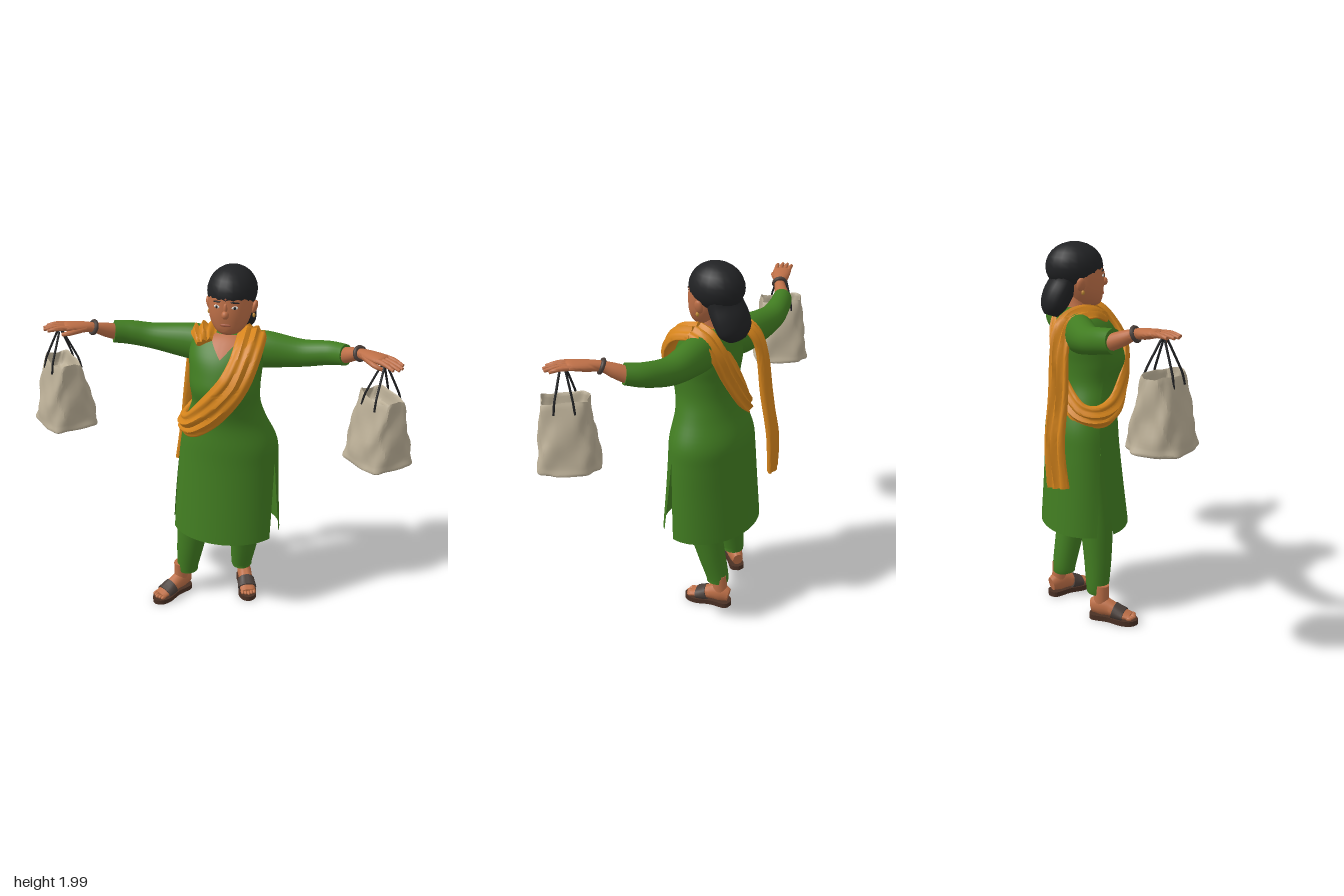
import * as THREE from 'three';
import { mergeVertices, toCreasedNormals } from 'three/addons/utils/BufferGeometryUtils.js';

const mat = (name, color, side = THREE.FrontSide) => {
  const m = new THREE.MeshStandardMaterial({ color, side });
  m.name = name;
  return m;
};
const { cos, sin, PI, abs, max, sign, pow } = Math;
const V = (x, y, z) => new THREE.Vector3(x, y, z);
const CX = 0.022; // head centre

// smooth interpolation through rows of numbers, t from 0 to 1
function sample(rows, t) {
  const n = rows.length - 1, f = Math.min(t * n, n - 1e-6), i = Math.floor(f), k = f - i;
  const g = (j) => rows[Math.min(n, max(0, j))];
  return rows[i].map((b, c) => {
    const a = g(i - 1)[c], d = g(i + 1)[c], e = g(i + 2)[c];
    return b + 0.5 * k * (d - a + k * (2 * a - 5 * b + 4 * d - e + k * (3 * (b - d) + e - a)));
  });
}

// grid surface from f(u, v); faces look outward when v turns counter-clockwise about u
function surface(nu, nv, f, crease = 1) {
  const pos = [], idx = [];
  for (let i = 0; i <= nu; i++) for (let j = 0; j <= nv; j++) pos.push(...f(i / nu, j / nv));
  for (let i = 0; i < nu; i++) for (let j = 0; j < nv; j++) {
    const a = i * (nv + 1) + j, c = a + nv + 1;
    idx.push(a, a + 1, c + 1, a, c + 1, c);
  }
  const g = new THREE.BufferGeometry();
  g.setAttribute('position', new THREE.Float32BufferAttribute(pos, 3));
  g.setIndex(idx);
  return toCreasedNormals(mergeVertices(g), crease);
}

// horizontal elliptical section of rows [y, xMin, xMax, zBack, zFront]
function section(rows, t, a, grow = 0) {
  const [y, x0, x1, z0, z1] = sample(rows, t);
  return [(x0 + x1) / 2 + ((x1 - x0) / 2 + grow) * cos(a), y, (z0 + z1) / 2 + ((z1 - z0) / 2 + grow) * sin(a)];
}

// swept form through points [x, y, z, halfWidth, halfHeight]; up(p) orients the section
function limb(pts, { up = () => V(0, 1, 0), nu = 24, nv = 18, fold = 0, bend = 0 } = {}) {
  const at = (t) => V(...sample(pts, t).slice(0, 3));
  return surface(nu, nv, (u, v) => {
    const i = Math.round(u * nu), t = Math.min(1, max(0, (i - 1) / (nu - 2)));
    const end = i === 0 || i === nu ? 0 : 1;
    const p = at(t), [, , , w, h] = sample(pts, t), a = v * 2 * PI;
    const T = at(Math.min(1, t + 0.01)).sub(at(max(0, t - 0.01))).normalize();
    const N = up(p).cross(T).normalize(), B = T.clone().cross(N);
    const c = cos(a);
    const o = h * sin(a) + max(0, sin(a)) * fold * sin(c * 10 + t * 7) - bend * w * w * c * c;
    return p.addScaledVector(N, w * c * end).addScaledVector(B, o * end).toArray();
  });
}
const upZ = { up: () => V(0, 0, 1) };

export function createModel() {
  const root = new THREE.Group();
  root.name = 'womanWithBags';
  const green = mat('green cloth', 0x417c21, THREE.DoubleSide);
  const orange = mat('orange cloth', 0xd5841c, THREE.DoubleSide);
  const skin = mat('skin', 0xbd6f47), hairM = mat('black hair', 0x212224);
  const canvas = mat('bag canvas', 0xb9ad95, THREE.DoubleSide);
  const brown = mat('sandal brown', 0x4a3024), strapM = mat('dark strap', 0x4a3f3a);
  const white = mat('eye white', 0xeae6e0), lipM = mat('lips', 0xa65a40), gold = mat('gold', 0xc08a35);

  const add = (name, geo, m, parent = root) => {
    const o = new THREE.Mesh(geo, m);
    o.name = name;
    parent.add(o);
    return o;
  };
  const ball = (name, m, p, s, parent = root) => {
    const o = add(name, new THREE.SphereGeometry(1, 20, 14), m, parent);
    o.position.set(...p);
    o.scale.set(...s);
    return o;
  };

  // tunic: front and back panels that part into side slits
  const body = [
    [1.665, -0.05, 0.09, -0.17, -0.03], [1.63, -0.16, 0.18, -0.2, 0.02], [1.55, -0.19, 0.2, -0.21, 0.09],
    [1.46, -0.185, 0.195, -0.21, 0.13], [1.38, -0.18, 0.19, -0.2, 0.148], [1.28, -0.175, 0.19, -0.2, 0.118],
    [1.18, -0.205, 0.22, -0.222, 0.1], [1.05, -0.245, 0.277, -0.268, 0.11], [0.93, -0.262, 0.287, -0.276, 0.117],
    [0.75, -0.28, 0.293, -0.285, 0.135], [0.49, -0.303, 0.305, -0.303, 0.165]];
  const slit = 0.25;
  for (const back of [0, 1]) {
    add(back ? 'tunicBack' : 'tunicFront', surface(48, 30, (u, v) => {
      const h = 0.21 * max(0, (0.95 - sample(body, u)[0]) / 0.46);
      const from = back ? PI - slit + h : slit + h, to = back ? 2 * PI + slit - h : PI - slit - h;
      return section(body, u, from + (to - from) * v);
    }), green);
  }
  // open neckline
  add('neckline', surface(8, 8, (u, v) => section(body, 0.03 + u * 0.16, PI / 2 + (v - 0.5) * 1.3 * (1 - u), 0.005)), skin);

  // trousers
  add('rightTrouserLeg', limb([[-0.13, 0.9, -0.07, 0.1, 0.1], [-0.172, 0.55, -0.04, 0.098, 0.088],
    [-0.2, 0.35, -0.035, 0.08, 0.075], [-0.222, 0.19, -0.04, 0.062, 0.062], [-0.222, 0.15, -0.04, 0.058, 0.058]], upZ), green);
  add('leftTrouserLeg', limb([[0.1, 0.9, -0.08, 0.1, 0.1], [0.105, 0.55, -0.1, 0.094, 0.088],
    [0.09, 0.35, -0.14, 0.079, 0.076], [0.07, 0.19, -0.172, 0.062, 0.065], [0.07, 0.15, -0.175, 0.058, 0.062]], upZ), green);

  // feet and sandals
  const outline = new THREE.Shape();
  outline.setFromPoints(new THREE.SplineCurve([[0, -0.135], [0.04, -0.11], [0.037, -0.02], [0.052, 0.06], [0.04, 0.115],
    [0, 0.14], [-0.04, 0.115], [-0.052, 0.06], [-0.037, -0.02], [-0.04, -0.11], [0, -0.135]].map((p) => new THREE.Vector2(...p))).getPoints(50));
  for (const [name, x, z, turn] of [['right', -0.297, 0.03, -0.57], ['left', 0.103, -0.138, 0.38]]) {
    const foot = new THREE.Group();
    foot.name = name + 'Foot';
    foot.position.set(x, 0, z);
    foot.rotation.y = turn;
    root.add(foot);
    const sole = add('sandalSole', new THREE.ExtrudeGeometry(outline, { depth: 0.028, bevelEnabled: false }), brown, foot);
    sole.rotation.x = PI / 2;
    sole.position.y = 0.03;
    add('foot', limb([[0, 0.07, -0.12, 0.03, 0.04], [0, 0.08, -0.07, 0.04, 0.055], [0, 0.07, -0.01, 0.04, 0.042],
      [0, 0.052, 0.05, 0.045, 0.026], [0, 0.044, 0.1, 0.042, 0.015]]), skin, foot);
    add('ankle', limb([[0, 0.2, -0.065, 0.036, 0.04], [0, 0.12, -0.068, 0.037, 0.042], [0, 0.07, -0.07, 0.038, 0.045]], upZ), skin, foot);
    add('sandalStrap', limb([[0, 0.062, 0.005, 0.049, 0.046], [0, 0.054, 0.035, 0.052, 0.038], [0, 0.048, 0.065, 0.054, 0.03]]), strapM, foot);
    for (let i = -2; i <= 2; i++) ball('toe', skin, [i * 0.017, 0.042, 0.112 - abs(i) * 0.006], [0.01, 0.011, 0.018], foot);
  }

  // arms, hands and bangles
  const arms = [
    { n: 'right', s: -1, sleeve: [[-0.08, 1.555, -0.11, 0.08, 0.095], [-0.2, 1.558, -0.125, 0.08, 0.098], [-0.4, 1.57, -0.115, 0.068, 0.07],
      [-0.52, 1.592, -0.08, 0.058, 0.064], [-0.6, 1.605, -0.04, 0.052, 0.06]], w: V(-0.68, 1.653, 0.045), k: V(-0.79, 1.675, 0.115), t: V(-0.9, 1.675, 0.178) },
    { n: 'left', s: 1, sleeve: [[0.08, 1.555, -0.11, 0.08, 0.095], [0.2, 1.553, -0.125, 0.08, 0.098], [0.38, 1.545, -0.14, 0.07, 0.073],
      [0.53, 1.57, -0.12, 0.058, 0.062], [0.62, 1.59, -0.068, 0.05, 0.054]], w: V(0.697, 1.635, 0.0), k: V(0.81, 1.653, 0.085), t: V(0.915, 1.64, 0.16) }];
  for (const { n, s, sleeve, w, k, t } of arms) {
    add(n + 'Sleeve', limb(sleeve, { nu: 30, nv: 24 }), green);
    const e = V(...sleeve[4].slice(0, 3)), dir = k.clone().sub(w).normalize();
    const side = V(0, 1, 0).cross(dir).normalize();
    const pt = (p, a, b) => [p.x, p.y, p.z, a, b];
    add(n + 'Forearm', limb([pt(e.clone().lerp(w, -0.2), 0.042, 0.042), pt(e.clone().lerp(w, 0.4), 0.037, 0.037), pt(w, 0.029, 0.026),
      pt(w.clone().lerp(k, 0.5), 0.044, 0.026), pt(k, 0.05, 0.02), pt(k.clone().lerp(t, 0.15), 0.045, 0.013)]), skin);
    for (let i = 0; i < 4; i++) { // fingers
      const off = side.clone().multiplyScalar((i - 1.5) * 0.023);
      const a = k.clone().add(off), b = k.clone().lerp(t, [0.88, 1, 0.97, 0.8][s > 0 ? i : 3 - i]).addScaledVector(off, 1.15);
      const m = a.clone().lerp(b, 0.5).add(V(0, 0.006, 0));
      add(n + 'Finger', limb([pt(a, 0.013, 0.014), pt(m, 0.012, 0.012), pt(b, 0.008, 0.008)], { nu: 10, nv: 10 }), skin);
    }
    const th = side.clone().multiplyScalar(-s);
    add(n + 'Thumb', limb([pt(w.clone().lerp(k, 0.35).addScaledVector(th, 0.025), 0.016, 0.016),
      pt(k.clone().addScaledVector(th, 0.048).add(V(0, -0.02, 0)), 0.013, 0.013),
      pt(k.clone().lerp(t, 0.3).addScaledVector(th, 0.03).add(V(0, -0.03, 0)), 0.009, 0.009)], { nu: 10, nv: 10 }), skin);
    const bangle = add(n + 'Bangle', new THREE.TorusGeometry(0.031, 0.011, 10, 24), strapM);
    bangle.position.copy(w);
    bangle.quaternion.setFromUnitVectors(V(0, 0, 1), w.clone().sub(e).normalize());
  }

  // shopping bags: crumpled, pinched at the rim, with two cord loops
  const bagRows = [[0, 0, -0.07], [0.11, 0.045, -0.07], [0.125, 0.065, 0], [0.133, 0.095, -0.1], [0.143, 0.122, -0.21],
    [0.15, 0.138, -0.31], [0.144, 0.133, -0.355], [0, 0, -0.36]];
  for (const [n, x, y, z, top] of [['right', -0.825, 1.5, 0.14, 0.15], ['left', 0.83, 1.48, 0.12, 0.15]]) {
    const bag = new THREE.Group();
    bag.name = n + 'Bag';
    bag.position.set(x, y, z);
    bag.rotation.y = -PI / 4;
    root.add(bag);
    add('bagBody', surface(35, 48, (u, v) => {
      const [w, d, h] = sample(bagRows, u), a = v * 2 * PI, c = cos(a), q = sin(a);
      const r = 1 + 0.04 * sin(a * 5 + h * 24) + 0.025 * sin(a * 9 - h * 38 + 1);
      const gusset = 1 - 0.12 * pow(abs(c), 8) * max(0, 1 + h * 3);
      return [w * r * gusset * sign(c) * pow(abs(c), 0.67), h + 0.008 * sin(a * 3 + 1) * (h > -0.2 ? 1 : 0.3), d * r * sign(q) * pow(abs(q), 0.67)];
    }, 0.6), canvas, bag);
    for (const f of [-1, 1]) {
      const path = new THREE.CatmullRomCurve3([V(-0.05, -0.05, f * 0.082), V(-0.043, 0.01, f * 0.07), V(-0.012, top, f * 0.012),
        V(0.012, top, f * 0.012), V(0.043, 0.01, f * 0.07), V(0.05, -0.05, f * 0.082)], false, 'catmullrom', 0.2);
      add('bagHandle', new THREE.TubeGeometry(path, 30, 0.0055, 6), hairM, bag);
    }
  }

  // scarf: sash from left shoulder to right hip and back, and an end hanging behind
  const out = (p) => V(p.x / 0.04, max(0, p.y - 1.45) * 60, (p.z + 0.06) / 0.0225).normalize();
  add('scarfSash', limb([[0.14, 1.665, -0.08, 0.075, 0.02], [0.145, 1.63, 0.03, 0.075, 0.022], [0.13, 1.55, 0.105, 0.075, 0.022],
    [0.09, 1.45, 0.148, 0.08, 0.022], [0.02, 1.35, 0.153, 0.082, 0.022], [-0.065, 1.25, 0.122, 0.08, 0.024], [-0.165, 1.155, 0.058, 0.07, 0.026],
    [-0.228, 1.125, -0.04, 0.062, 0.028], [-0.2, 1.15, -0.14, 0.06, 0.024], [-0.1, 1.25, -0.195, 0.062, 0.022], [0.01, 1.4, -0.215, 0.062, 0.02],
    [0.09, 1.54, -0.205, 0.062, 0.02], [0.13, 1.635, -0.16, 0.07, 0.02], [0.14, 1.665, -0.08, 0.075, 0.02]],
  { up: out, nu: 80, nv: 36, fold: 0.009, bend: 2 }), orange);
  add('scarfEnd', limb([[-0.085, 1.62, 0.02, 0.05, 0.018], [-0.115, 1.655, -0.06, 0.07, 0.02], [-0.15, 1.62, -0.18, 0.068, 0.022],
    [-0.19, 1.5, -0.228, 0.062, 0.026], [-0.22, 1.25, -0.245, 0.066, 0.028], [-0.25, 1.0, -0.272, 0.07, 0.028], [-0.275, 0.78, -0.262, 0.078, 0.026]],
  { up: out, nu: 50, nv: 36, fold: 0.012, bend: 1 }), orange);

  // neck and head
  add('neck', limb([[CX, 1.74, -0.085, 0.062, 0.06], [CX, 1.67, -0.09, 0.062, 0.06], [CX, 1.6, -0.09, 0.085, 0.07]], upZ), skin);
  const head = [[1.66, 0, -0.04, -0.02], [1.668, 0.045, -0.09, 0.01], [1.69, 0.075, -0.12, 0.028], [1.735, 0.1, -0.15, 0.036], [1.785, 0.111, -0.18, 0.04],
    [1.84, 0.114, -0.2, 0.037], [1.9, 0.108, -0.2, 0.026], [1.95, 0.075, -0.17, -0.01], [1.97, 0, -0.09, -0.08]]
    .map(([y, r, b, f]) => [y, CX - r, CX + r, b, f]).reverse();
  add('head', surface(32, 36, (u, v) => section(head, u, v * 2 * PI), 1.5), skin);
  ball('nose', skin, [CX, 1.785, 0.04], [0.019, 0.022, 0.022]);
  ball('noseBridge', skin, [CX, 1.815, 0.034], [0.011, 0.03, 0.013]);
  ball('mouth', lipM, [CX, 1.728, 0.034], [0.028, 0.008, 0.006]);
  ball('foreheadMark', lipM, [CX, 1.865, 0.034], [0.006, 0.007, 0.004]);
  for (const s of [-1, 1]) {
    const x = CX + s * 0.046;
    ball('eye', white, [x, 1.822, 0.027], [0.017, 0.009, 0.006]).rotation.y = s * 0.35;
    ball('pupil', hairM, [x, 1.822, 0.0315], [0.007, 0.008, 0.004]);
    const brow = ball('eyebrow', hairM, [x, 1.848, 0.026], [0.024, 0.004, 0.006]);
    brow.rotation.set(0, s * 0.35, -s * 0.12);
    ball('ear', skin, [CX + s * 0.118, 1.79, -0.1], [0.015, 0.036, 0.024]).rotation.z = -s * 0.25;
    ball('earring', gold, [CX + s * 0.117, 1.748, -0.09], [0.008, 0.012, 0.009]);
  }
  const necklace = add('necklace', new THREE.TorusGeometry(0.073, 0.005, 8, 40), lipM);
  necklace.position.set(CX, 1.637, -0.07);
  necklace.rotation.x = PI / 2 + 0.3;

  // hair: cap and loose length at the back
  ball('hairCap', hairM, [CX, 1.868, -0.113], [0.127, 0.125, 0.15]);
  add('backHair', limb([[CX, 1.9, -0.15, 0.1, 0.09], [CX, 1.8, -0.165, 0.105, 0.075], [0.018, 1.72, -0.205, 0.11, 0.075],
    [0.012, 1.66, -0.228, 0.098, 0.064], [0.008, 1.62, -0.24, 0.055, 0.035]], upZ), hairM);
  return root;
}
